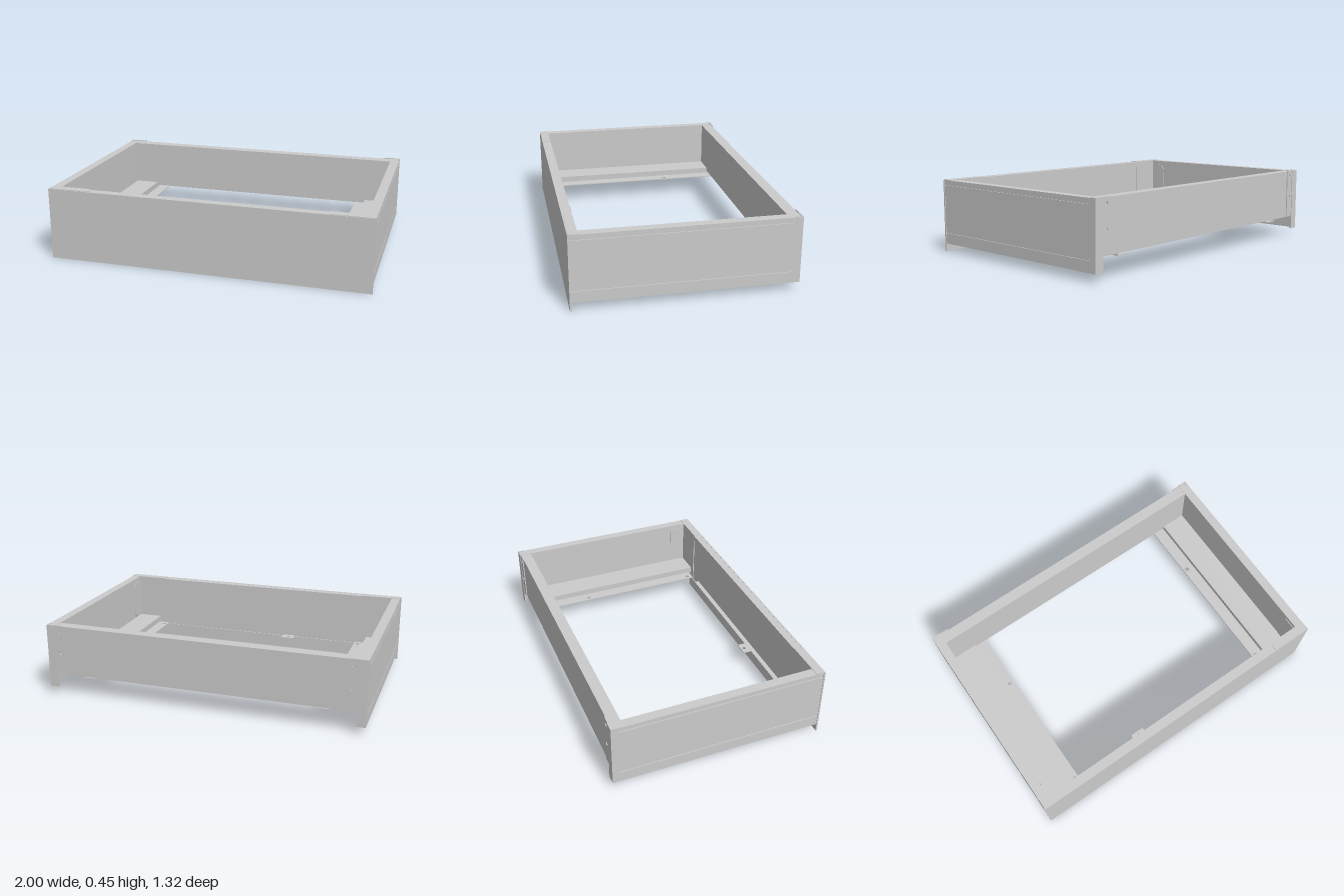
import * as THREE from 'three';

const material = new THREE.MeshStandardMaterial({ color: 0xcccccc });
const T = 0.006; // sheet thickness

function add(parent, name, geometry) {
  const mesh = new THREE.Mesh(geometry, material);
  mesh.name = name;
  parent.add(mesh);
  return mesh;
}

// Box given by its limits on each axis
function plate(parent, name, [x0, x1], [y0, y1], [z0, z1]) {
  const mesh = add(parent, name, new THREE.BoxGeometry(x1 - x0, y1 - y0, z1 - z0));
  mesh.position.set((x0 + x1) / 2, (y0 + y1) / 2, (z0 + z1) / 2);
  return mesh;
}

// Flat rectangle with round holes, extruded by the sheet thickness
function drilled([u0, u1], [v0, v1], holes, radius) {
  const shape = new THREE.Shape();
  shape.moveTo(u0, v0).lineTo(u1, v0).lineTo(u1, v1).lineTo(u0, v1).closePath();
  for (const [u, v] of holes) {
    shape.holes.push(new THREE.Path().absarc(u, v, radius, 0, Math.PI * 2, true));
  }
  return new THREE.ExtrudeGeometry(shape, { depth: T, bevelEnabled: false, curveSegments: 10 });
}

// Horizontal drilled plate whose top lies at y
function flatDrilled(parent, name, xs, zs, y, holes, radius) {
  const mesh = add(parent, name, drilled(xs, zs, holes, radius));
  mesh.rotation.x = Math.PI / 2;
  mesh.position.y = y;
  return mesh;
}

function createSide(s) {
  const side = new THREE.Group();
  side.name = s > 0 ? 'leftSide' : 'rightSide';
  const X = (a, b) => (s > 0 ? [a, b] : [-b, -a]);
  const length = [-0.65, 0.645];

  // Outer skin in three bands, leaving two fine grooves
  for (const band of [[0.05, 0.117], [0.123, 0.417], [0.423, 0.45]]) {
    plate(side, 'outerSkin', X(0.99, 0.997), band, length);
  }
  plate(side, 'skinBacking', X(0.987, 0.991), [0.1, 0.44], length);

  // Folded top, inner wall and stepped bottom shelf
  plate(side, 'topFlange', X(0.94, 0.99), [0.444, 0.45], length);
  plate(side, 'innerWall', X(0.94, 0.946), [0.15, 0.446], length);
  plate(side, 'shelf', X(0.78, 0.946), [0.15, 0.156], [-0.62, 0.6]);
  plate(side, 'shelfStep', X(0.78, 0.786), [0.112, 0.152], [-0.62, 0.6]);
  flatDrilled(side, 'mountingFlange', X(0.705, 0.786), [-0.62, 0.58], 0.118,
    [[s * 0.73, -0.235], [s * 0.73, 0.54]], 0.014);

  // Rear end cap with its screw tab
  plate(side, 'endCap', X(0.94, 0.997), [0.05, 0.453], [-0.66, -0.648]);
  plate(side, 'endCapReturn', X(0.985, 0.997), [0.05, 0.453], [-0.655, -0.62]);
  const tab = add(side, 'screwTab',
    drilled(X(0.885, 0.945), [0.14, 0.453], [[s * 0.91, 0.415], [s * 0.91, 0.275]], 0.011));
  tab.position.z = -0.657;

  // Front corner gusset: vertical plate, top overlap and chamfered side tab
  plate(side, 'cornerPlate', X(0.74, 0.942), [0.04, 0.45], [0.597, 0.603]);
  plate(side, 'cornerTop', X(0.74, 0.997), [0.446, 0.453], [0.597, 0.65]);
  const ear = new THREE.Shape();
  ear.moveTo(-0.6, 0.16).lineTo(-0.51, 0.16).lineTo(-0.49, 0.19)
    .lineTo(-0.49, 0.39).lineTo(-0.51, 0.42).lineTo(-0.6, 0.42).closePath();
  const earMesh = add(side, 'cornerTab',
    new THREE.ExtrudeGeometry(ear, { depth: 0.005, bevelEnabled: false }));
  earMesh.rotation.y = Math.PI / 2;
  earMesh.position.x = s > 0 ? 0.936 : -0.941;
  return side;
}

function createFront() {
  const front = new THREE.Group();
  front.name = 'front';
  plate(front, 'frontPanel', [-1, 1], [0, 0.45], [0.645, 0.655]);
  // Top fold with short lip
  plate(front, 'frontTopFlange', [-0.74, 0.74], [0.443, 0.449], [0.597, 0.65]);
  plate(front, 'frontTopLip', [-0.74, 0.74], [0.415, 0.446], [0.597, 0.603]);
  // Bottom fold with upturned lip
  plate(front, 'frontBottomFlange', [-0.74, 0.74], [0.04, 0.046], [0.571, 0.647]);
  plate(front, 'frontBottomLip', [-0.74, 0.74], [0.04, 0.112], [0.571, 0.577]);
  // Small drilled bracket on the lip
  flatDrilled(front, 'bracket', [-0.275, -0.185], [0.515, 0.578], 0.118, [[-0.23, 0.54]], 0.011);
  return front;
}

function createBack() {
  const back = new THREE.Group();
  back.name = 'back';
  const width = [-0.942, 0.942];
  plate(back, 'backOuterPanel', width, [0.135, 0.448], [-0.65, -0.644]);
  plate(back, 'backInnerPanel', width, [0.135, 0.448], [-0.588, -0.582]);
  plate(back, 'backTopFlange', width, [0.442, 0.448], [-0.646, -0.586]);
  plate(back, 'backBottomFlange', width, [0.135, 0.141], [-0.646, -0.586]);
  // Dark screw recesses behind the tab holes are formed by the tab thickness
  return back;
}

export function createModel() {
  const model = new THREE.Group();
  model.name = 'drawerFrame';
  model.add(createFront(), createBack(), createSide(1), createSide(-1));
  return model;
}
